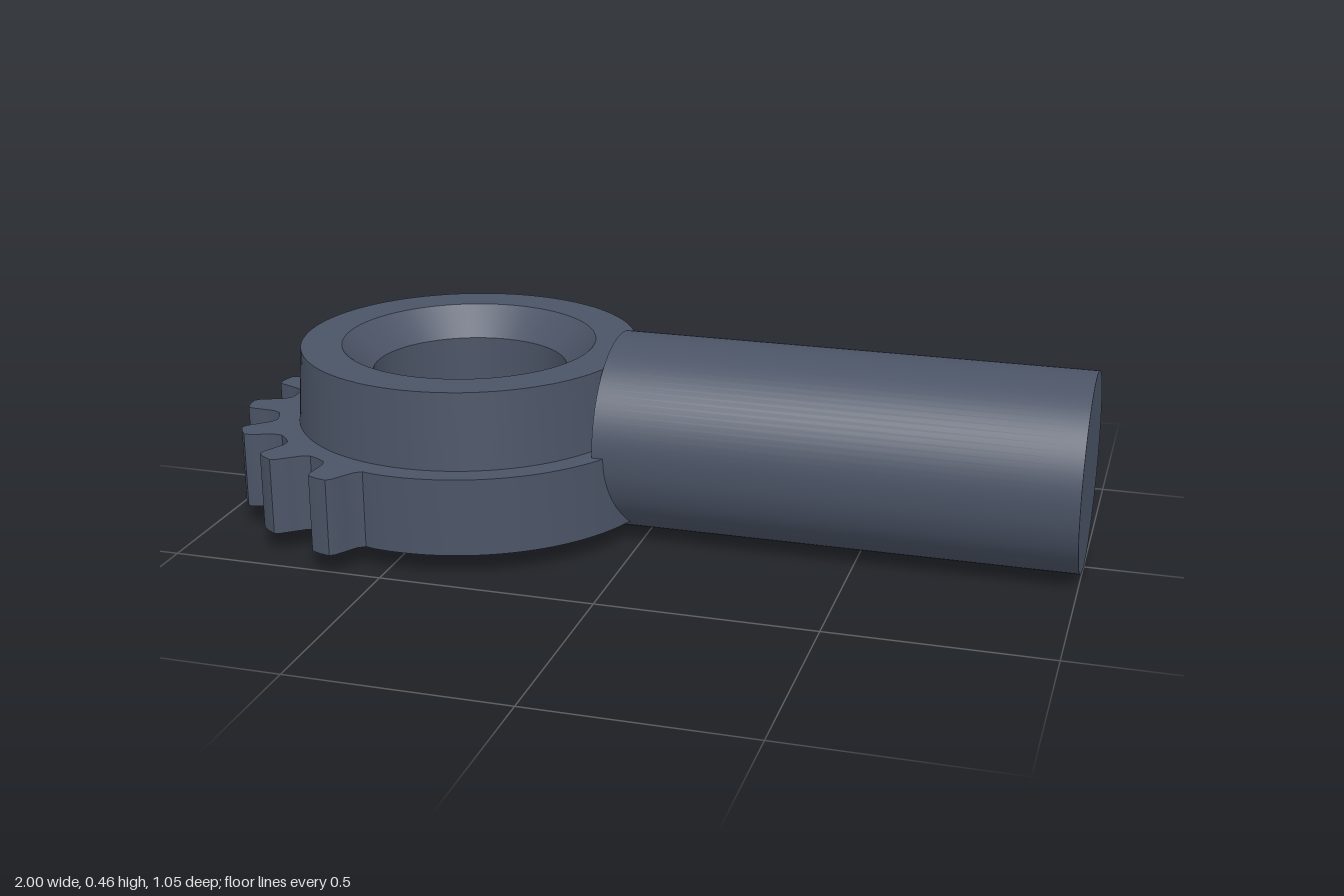
import * as THREE from 'three';
import { toCreasedNormals } from 'three/addons/utils/BufferGeometryUtils.js';

const RING_X = -0.465, BORE = 0.23, ROOT = 0.46;
const FLANGE_Y = 0.05, FLANGE_TOP = 0.23, HUB_TOP = 0.41;

// Flange outline: eight gear teeth on the -x side, a plain arc on the rest
function flangeShape() {
  const pts = [];
  const polar = (r, a) => pts.push(new THREE.Vector2(r * Math.cos(a), r * Math.sin(a)));
  // One flank from root to tip: radius, half width
  const flank = [[ROOT, 0.058], [0.475, 0.046], [0.5, 0.04], [0.53, 0.033], [0.542, 0.025]];
  const pitch = THREE.MathUtils.degToRad(20.57);
  for (let i = 0; i < 8; i++) {
    const mid = Math.PI + (i - 3.5) * pitch;
    flank.forEach(([r, w]) => polar(r, mid - w / r));
    polar(0.544, mid);
    [...flank].reverse().forEach(([r, w]) => polar(r, mid + w / r));
    if (i < 7) polar(ROOT - 0.003, mid + pitch / 2);
  }
  const edge = 3.5 * pitch + 0.058 / ROOT;
  const start = Math.PI + edge, sweep = 2 * Math.PI - 2 * edge;
  for (let i = 1; i < 72; i++) polar(ROOT + 0.002, start + sweep * i / 72);
  const shape = new THREE.Shape(pts);
  shape.holes.push(new THREE.Path().absarc(0, 0, BORE, 0, Math.PI * 2, true));
  return shape;
}

export function createModel() {
  const group = new THREE.Group();
  const steel = new THREE.MeshStandardMaterial({ color: 0x4b5466 });
  steel.name = 'blue grey steel';

  const add = (name, geometry, x, y) => {
    const mesh = new THREE.Mesh(geometry, steel);
    mesh.name = name;
    mesh.position.set(x, y, 0);
    group.add(mesh);
  };

  // Toothed flange with the bore through it
  const flange = new THREE.ExtrudeGeometry(flangeShape(), {
    depth: FLANGE_TOP - FLANGE_Y, bevelEnabled: false, curveSegments: 48,
  });
  flange.rotateX(-Math.PI / 2);
  add('toothedFlange', toCreasedNormals(flange, 0.4), RING_X, FLANGE_Y);

  // Slightly tapered hub with a chamfered bore
  const profile = [
    [0.408, FLANGE_TOP], [0.396, HUB_TOP], [0.3, HUB_TOP], [BORE, 0.343], [BORE, FLANGE_TOP],
  ].map(([r, y]) => new THREE.Vector2(r, y));
  add('hub', toCreasedNormals(new THREE.LatheGeometry(profile, 96), 0.4), RING_X, 0);

  // Round shaft running out to the model's left
  const shaft = new THREE.CylinderGeometry(0.2275, 0.2275, 1.09, 96);
  shaft.rotateZ(-Math.PI / 2);
  add('shaft', shaft, 0.455, 0.2275);

  return group;
}
